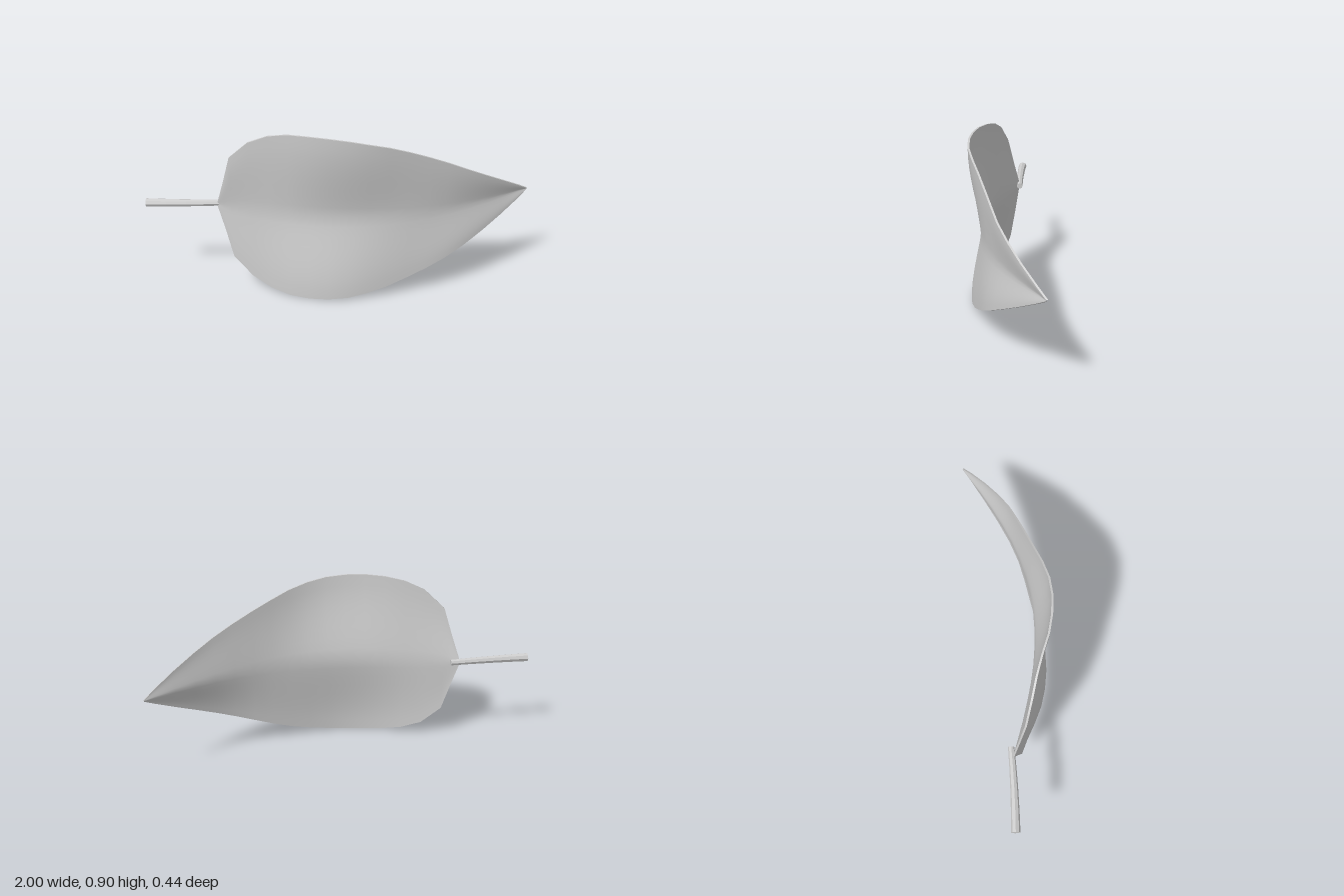
import * as THREE from 'three';

// Blade stations along the leaf: x, half height, midrib z, upper edge z, lower edge z
const STATIONS = [
  [-0.63, 0.006, 0.01, 0.01, 0.01],
  [-0.59, 0.14, 0.025, 0.04, 0.03],
  [-0.55, 0.285, 0.038, 0.07, 0.055],
  [-0.45, 0.38, 0.068, 0.1, 0.09],
  [-0.35, 0.425, 0.094, 0.125, 0.135],
  [-0.25, 0.445, 0.117, 0.155, 0.175],
  [-0.15, 0.45, 0.134, 0.19, 0.2],
  [-0.05, 0.447, 0.144, 0.21, 0.212],
  [0.05, 0.437, 0.147, 0.217, 0.21],
  [0.15, 0.417, 0.144, 0.207, 0.193],
  [0.25, 0.39, 0.134, 0.178, 0.17],
  [0.35, 0.352, 0.115, 0.14, 0.143],
  [0.45, 0.31, 0.085, 0.103, 0.117],
  [0.55, 0.264, 0.046, 0.065, 0.085],
  [0.65, 0.213, -0.002, 0.025, 0.037],
  [0.75, 0.158, -0.056, -0.03, -0.025],
  [0.85, 0.1, -0.116, -0.095, -0.095],
  [0.95, 0.038, -0.182, -0.17, -0.17],
  [1.0, 0.003, -0.212, -0.212, -0.212],
];
const MID_Y = 0.45;
const ACROSS = 16;
const THICKNESS = 0.01;

// Point on the blade; t runs from the lower edge (-1) to the upper edge (1)
function bladePoint([x, half, mid, upper, lower], t, offset) {
  const edge = t > 0 ? upper : lower;
  const z = mid + (edge - mid) * Math.sin((Math.PI / 2) * Math.pow(Math.abs(t), 1.25));
  return [x, MID_Y + half * t, z + offset];
}

function gridGeometry(rows, flip) {
  const n = rows[0].length;
  const index = [];
  for (let i = 0; i < rows.length - 1; i++) {
    for (let j = 0; j < n - 1; j++) {
      const a = i * n + j, b = a + n, c = b + 1, d = a + 1;
      if (flip) index.push(a, c, b, a, d, c);
      else index.push(a, b, c, a, c, d);
    }
  }
  const geometry = new THREE.BufferGeometry();
  geometry.setAttribute('position', new THREE.Float32BufferAttribute(rows.flat(2), 3));
  geometry.setIndex(index);
  geometry.computeVertexNormals();
  return geometry;
}

function sheet(offset, flip) {
  const rows = STATIONS.map((s) =>
    Array.from({ length: ACROSS + 1 }, (_, j) => bladePoint(s, (j / ACROSS) * 2 - 1, offset)));
  return gridGeometry(rows, flip);
}

// Narrow strip closing the blade along one edge
function rim(t) {
  const rows = STATIONS.map((s) => [-1, 1].map((k) => bladePoint(s, t, (k * THICKNESS) / 2)));
  return gridGeometry(rows, t > 0);
}

export function createModel() {
  const model = new THREE.Group();
  model.name = 'leaf';
  const grey = new THREE.MeshStandardMaterial({ color: 0xcccccc });
  grey.name = 'leaf grey';
  const add = (name, geometry, parent) => {
    const mesh = new THREE.Mesh(geometry, grey);
    mesh.name = name;
    parent.add(mesh);
  };

  // Cupped blade with a front face, back face and thin rims
  const blade = new THREE.Group();
  blade.name = 'blade';
  add('bladeFront', sheet(THICKNESS / 2, false), blade);
  add('bladeBack', sheet(-THICKNESS / 2, true), blade);
  add('upperRim', rim(1), blade);
  add('lowerRim', rim(-1), blade);
  model.add(blade);

  // Tapered, slightly bent faceted stem
  const stem = new THREE.CylinderGeometry(0.016, 0.023, 0.42, 8, 4).toNonIndexed();
  stem.rotateZ(-Math.PI / 2);
  const p = stem.attributes.position;
  for (let i = 0; i < p.count; i++) {
    const u = (p.getX(i) + 0.21) / 0.42;
    p.setXYZ(i, p.getX(i) - 0.79, p.getY(i) + MID_Y + 0.002,
      p.getZ(i) + 0.009 - 0.008 * u + 0.016 * u * (1 - u));
  }
  stem.computeVertexNormals();
  add('stem', stem, model);

  return model;
}
